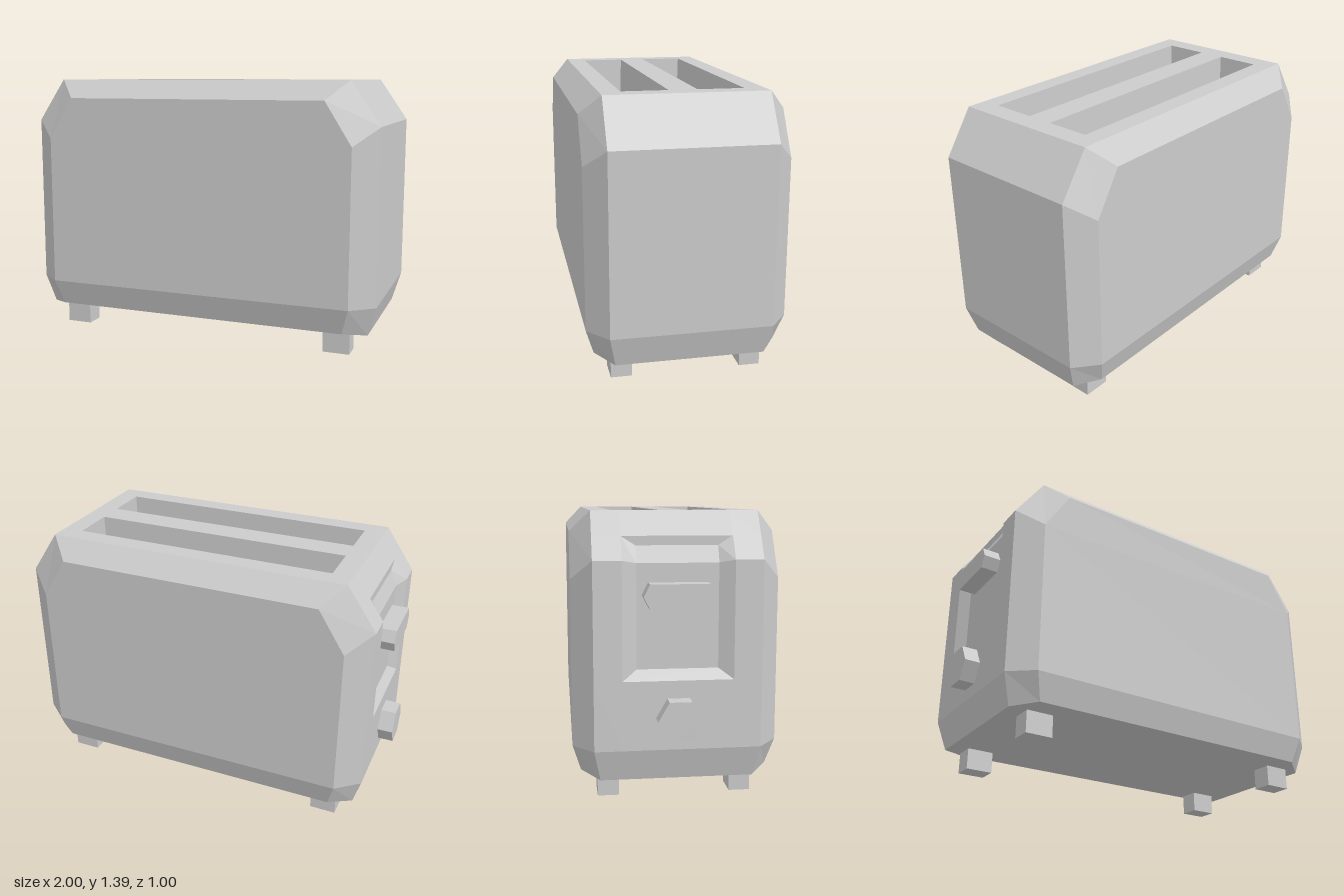
import * as THREE from 'three';

const material = new THREE.MeshStandardMaterial({ color: 0xcccccc, flatShading: true });
const LEFT = new THREE.Vector3(-1, 0, 0);
const UP = new THREE.Vector3(0, 1, 0);
const CENTRE = new THREE.Vector3(0, 0.72, 0);

// Collects flat quads; each is wound to face `dir`, or away from the body centre
function faceBuilder() {
  const positions = [];
  const quad = (points, dir) => {
    let p = points.map((q) => new THREE.Vector3(...q));
    const normal = p[2].clone().sub(p[0]).cross(p[3].clone().sub(p[1]));
    const middle = p.reduce((s, q) => s.add(q), new THREE.Vector3()).multiplyScalar(0.25);
    if (normal.dot(dir || middle.sub(CENTRE)) < 0) p = p.reverse();
    for (const i of [0, 1, 2, 0, 2, 3]) positions.push(p[i].x, p[i].y, p[i].z);
  };
  // Walls joining two closed loops of points
  const bridge = (a, b, dir, skip = []) => a.forEach((_, i) => {
    const j = (i + 1) % a.length;
    if (!skip.includes(i)) quad([a[i], a[j], b[j], b[i]], dir);
  });
  const mesh = (name) => {
    const geometry = new THREE.BufferGeometry();
    geometry.setAttribute('position', new THREE.Float32BufferAttribute(positions, 3));
    geometry.computeVertexNormals();
    const m = new THREE.Mesh(geometry, material);
    m.name = name;
    return m;
  };
  return { quad, bridge, mesh };
}

// Eight-point cross-section: up the +x side, then down the -x side
function section(half, zSign) {
  const right = half.map(([x, y, z]) => [x, y, z * zSign]);
  return [...right, ...right.map(([x, y, z]) => [-x, y, z]).reverse()];
}

function createShell() {
  const { quad, bridge, mesh } = faceBuilder();
  const inner = [[0.915, 0.11, 0.37], [0.96, 0.265, 0.4], [0.96, 1.165, 0.4], [0.805, 1.39, 0.4]];
  const outer = [[0.8, 0.13, 0.46], [0.8375, 0.265, 0.5], [0.8375, 1.07, 0.5], [0.7, 1.29, 0.5]];

  // Front and back panels with their bevels
  for (const s of [1, -1]) {
    const a = section(outer, s);
    bridge(section(inner, s), a);
    for (let i = 0; i < 3; i++) quad([a[i], a[i + 1], a[6 - i], a[7 - i]]);
  }
  // Middle band; the top and control end are left open here
  bridge(section(inner, -1), section(inner, 1), null, [3, 4, 5]);

  // Top plate around the two slots
  const xs = [-0.805, -0.7, 0.7, 0.805];
  const zs = [-0.4, -0.3, -0.07, 0.07, 0.3, 0.4];
  const rect = (x, y, z0, z1) => [[-x, y, z0], [x, y, z0], [x, y, z1], [-x, y, z1]];
  for (let i = 0; i < 3; i++) {
    for (let j = 0; j < 5; j++) {
      if (i === 1 && j % 2 === 1) continue;
      quad([[xs[i], 1.39, zs[j]], [xs[i + 1], 1.39, zs[j]],
        [xs[i + 1], 1.39, zs[j + 1]], [xs[i], 1.39, zs[j + 1]]], UP);
    }
  }
  // Tapered slot walls and floors
  for (const j of [1, 3]) {
    const floor = rect(0.68, 0.79, zs[j] + 0.02, zs[j + 1] - 0.02);
    bridge(rect(0.7, 1.39, zs[j], zs[j + 1]), floor, UP);
    quad(floor, UP);
  }

  // Control end around the recess
  const profile = [[-0.96, 0.265], [-0.96, 0.6], [-0.96, 1.165], [-0.885, 1.274], [-0.805, 1.39]];
  const ez = [-0.4, -0.265, 0.265, 0.4];
  for (let i = 0; i < 4; i++) {
    for (let j = 0; j < 3; j++) {
      if (j === 1 && (i === 1 || i === 2)) continue;
      const [p, q] = [profile[i], profile[i + 1]];
      quad([[...p, ez[j]], [...q, ez[j]], [...q, ez[j + 1]], [...p, ez[j + 1]]], LEFT);
    }
  }
  // Recess walls and its bent floor
  const loop = (pts, z) => [...pts.map((p) => [...p, z]), ...pts.map((p) => [...p, -z]).reverse()];
  const floor = loop([[-0.92, 0.65], [-0.92, 1.15], [-0.884, 1.23]], 0.195);
  bridge(loop(profile.slice(1, 4), 0.265), floor, LEFT);
  quad([floor[0], floor[1], floor[4], floor[5]], LEFT);
  quad([floor[1], floor[2], floor[3], floor[4]], LEFT);
  return mesh('body');
}

// Hexagonal prism sticking out of the control end, pointed along z
function createHexKnob(name, y, halfZ, flatZ, halfY, depth, x) {
  const shape = new THREE.Shape([[halfZ, 0], [flatZ, halfY], [-flatZ, halfY],
    [-halfZ, 0], [-flatZ, -halfY], [flatZ, -halfY]].map((p) => new THREE.Vector2(...p)));
  const geometry = new THREE.ExtrudeGeometry(shape, { depth, bevelEnabled: false });
  geometry.rotateY(-Math.PI / 2);
  const m = new THREE.Mesh(geometry, material);
  m.position.set(x, y, 0);
  m.name = name;
  return m;
}

export function createModel() {
  const toaster = new THREE.Group();
  toaster.name = 'toaster';
  const parts = new THREE.Group();
  parts.name = 'toasterParts';
  parts.position.x = 0.04;
  toaster.add(parts);

  parts.add(createShell());
  parts.add(createHexKnob('lever', 1.002, 0.17, 0.14, 0.058, 0.09, -0.92));
  parts.add(createHexKnob('dial', 0.422, 0.107, 0.0535, 0.093, 0.08, -0.96));

  // Feet
  for (const sx of [1, -1]) {
    for (const sz of [1, -1]) {
      const foot = new THREE.Mesh(new THREE.BoxGeometry(0.14, 0.115, 0.105), material);
      foot.position.set(sx * 0.755, 0.0575, sz * 0.3275);
      foot.name = 'foot';
      parts.add(foot);
    }
  }
  return toaster;
}
